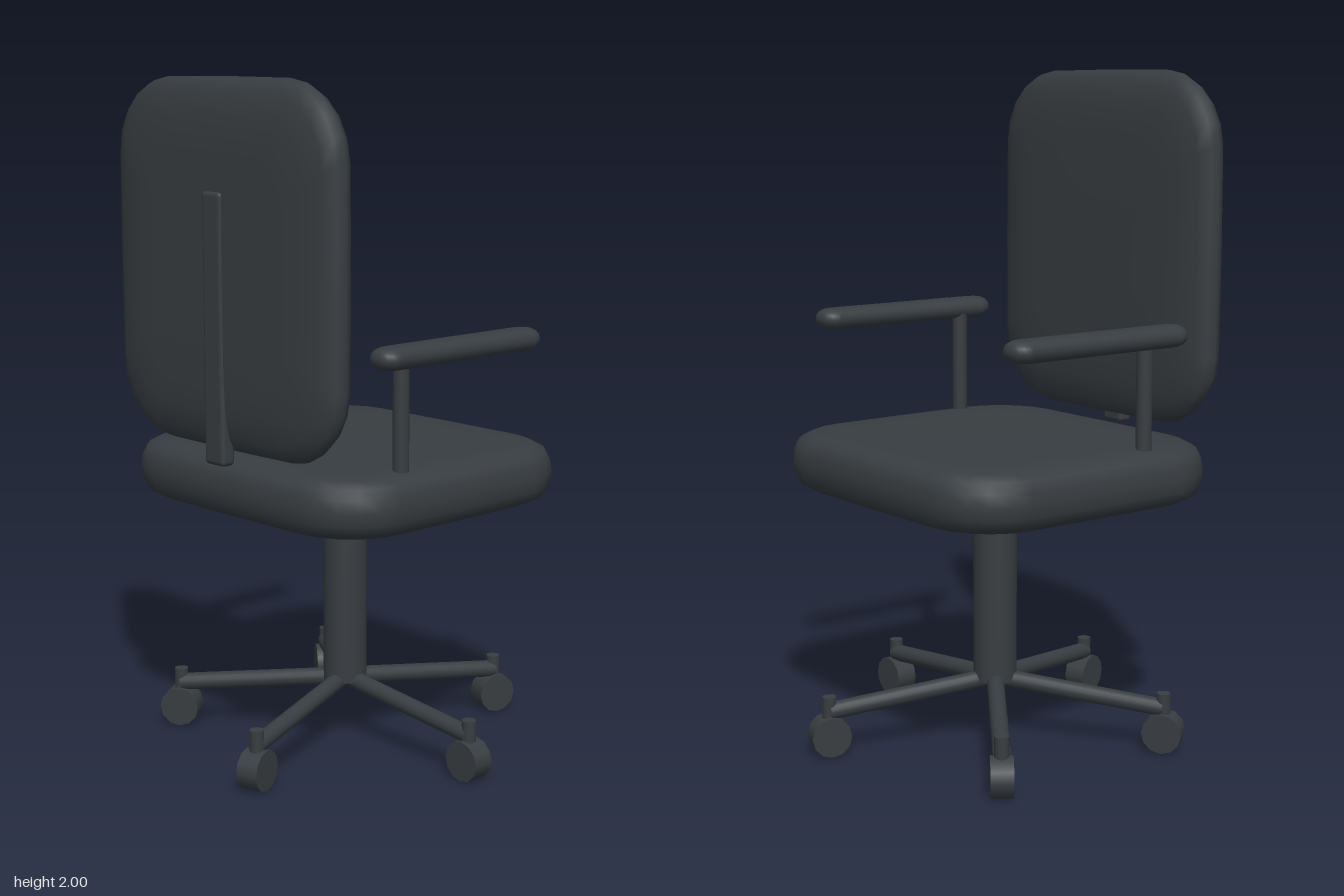
import * as THREE from 'three';
import { RoundedBoxGeometry } from 'three/addons/geometries/RoundedBoxGeometry.js';

const charcoal = new THREE.MeshStandardMaterial({ color: 0x383d41 });
charcoal.name = 'charcoal';

const CENTER_X = -0.03; // column axis

function add(parent, name, geometry, x = 0, y = 0, z = 0) {
  const mesh = new THREE.Mesh(geometry, charcoal);
  mesh.name = name;
  mesh.position.set(x, y, z);
  parent.add(mesh);
  return mesh;
}

// Straight round bar between two points
function rod(parent, name, a, b, radius, sides = 16) {
  const from = new THREE.Vector3(...a), to = new THREE.Vector3(...b);
  const dir = to.clone().sub(from);
  const mesh = add(parent, name, new THREE.CylinderGeometry(radius, radius, dir.length(), sides));
  mesh.position.copy(from).add(to).multiplyScalar(0.5);
  mesh.quaternion.setFromUnitVectors(new THREE.Vector3(0, 1, 0), dir.normalize());
  return mesh;
}

// Soft pad lying flat: rounded outline stacked in rings.
// profile holds [height fraction, inset] from the rim up to the top.
function cushion(hx, hy, hz, corner, profile) {
  const outline = [];
  const corners = [[1, 1, 0], [-1, 1, 1], [-1, -1, 2], [1, -1, 3]];
  const steps = 5, bulge = 0.015;
  for (const [sx, sz, quarter] of corners) {
    for (let i = 0; i <= steps; i++) {
      const t = (quarter + i / steps) * Math.PI / 2;
      outline.push([sx * (hx - corner) + corner * Math.cos(t), sz * (hz - corner) + corner * Math.sin(t)]);
    }
    // middle of the following edge
    outline.push([[0, hz], [-hx, 0], [0, -hz], [hx, 0]][quarter]);
  }
  const upper = [...profile, [1, null]];
  const lower = upper.slice(1).reverse().map(([h, inset]) => [-h, inset]);
  const rings = [...lower, ...upper];
  const n = outline.length, positions = [], indices = [];
  for (const [h, inset] of rings) {
    const kx = inset === null ? 0 : 1 - inset / hx;
    const kz = inset === null ? 0 : 1 - inset / hz;
    for (const [x, z] of outline) {
      positions.push(
        x * kx * (1 - bulge * (z / hz) ** 2),
        h * hy,
        z * kz * (1 - bulge * (x / hx) ** 2));
    }
  }
  for (let j = 0; j < rings.length - 1; j++) {
    for (let i = 0; i < n; i++) {
      const a = j * n + i, b = j * n + (i + 1) % n, c = b + n, d = a + n;
      if (j > 0) indices.push(a, c, b);
      if (j < rings.length - 2) indices.push(a, d, c);
    }
  }
  // the end rings are poles, closed by one triangle per side
  const geometry = new THREE.BufferGeometry();
  geometry.setAttribute('position', new THREE.Float32BufferAttribute(positions, 3));
  geometry.setIndex(indices);
  geometry.computeVertexNormals();
  const normal = geometry.attributes.normal;
  for (let i = 0; i < n; i++) {
    normal.setXYZ(i, 0, -1, 0);
    normal.setXYZ((rings.length - 1) * n + i, 0, 1, 0);
  }
  return geometry;
}

export function createModel() {
  const chair = new THREE.Group();
  chair.name = 'officeChair';
  const body = new THREE.Group();
  body.name = 'chairBody';
  body.position.x = CENTER_X;
  chair.add(body);

  // Seat and backrest
  add(body, 'seat', cushion(0.52, 0.0925, 0.48, 0.2,
    [[0, 0], [0.4, 0.005], [0.7, 0.017], [0.88, 0.045], [0.96, 0.1], [0.985, 0.19]]), 0, 0.8425, 0);
  const back = add(body, 'backrest', cushion(0.475, 0.063, 0.5225, 0.21,
    [[0, 0], [0.4, 0.01], [0.7, 0.045], [0.9, 0.11], [0.97, 0.2]]), 0, 1.4775, 0.439);
  back.rotation.x = Math.PI / 2;
  add(body, 'backSupport', new RoundedBoxGeometry(0.083, 0.77, 0.048, 3, 0.014), 0, 1.305, 0.484);

  // Armrests, mirrored
  for (const side of [-1, 1]) {
    const name = side > 0 ? 'left' : 'right';
    add(body, name + 'ArmPad', cushion(0.053, 0.032, 0.318, 0.042,
      [[0, 0], [0.4, 0.003], [0.7, 0.01], [0.92, 0.022], [0.98, 0.034]]), side * 0.46, 1.253, 0);
    rod(body, name + 'ArmPost', [side * 0.435, 0.9, 0.197], [side * 0.435, 1.24, 0.197], 0.023);
  }

  // Central column
  rod(body, 'column', [0, 0.18, 0], [0, 0.8, 0], 0.066, 24);

  // Five-legged base with casters
  for (let i = 0; i < 5; i++) {
    const leg = new THREE.Group();
    leg.name = 'baseLeg' + (i + 1);
    leg.rotation.y = i * Math.PI * 2 / 5;
    body.add(leg);
    rod(leg, 'legBar', [0, 0.186, 0], [0.52, 0.133, 0], 0.026);
    rod(leg, 'casterStem', [0.52, 0.08, 0], [0.52, 0.178, 0], 0.021, 12);
    const wheel = add(leg, 'casterWheel', new THREE.CylinderGeometry(0.06, 0.06, 0.066, 12), 0.52, 0.06, 0);
    wheel.rotation.x = Math.PI / 2;
  }
  return chair;
}
